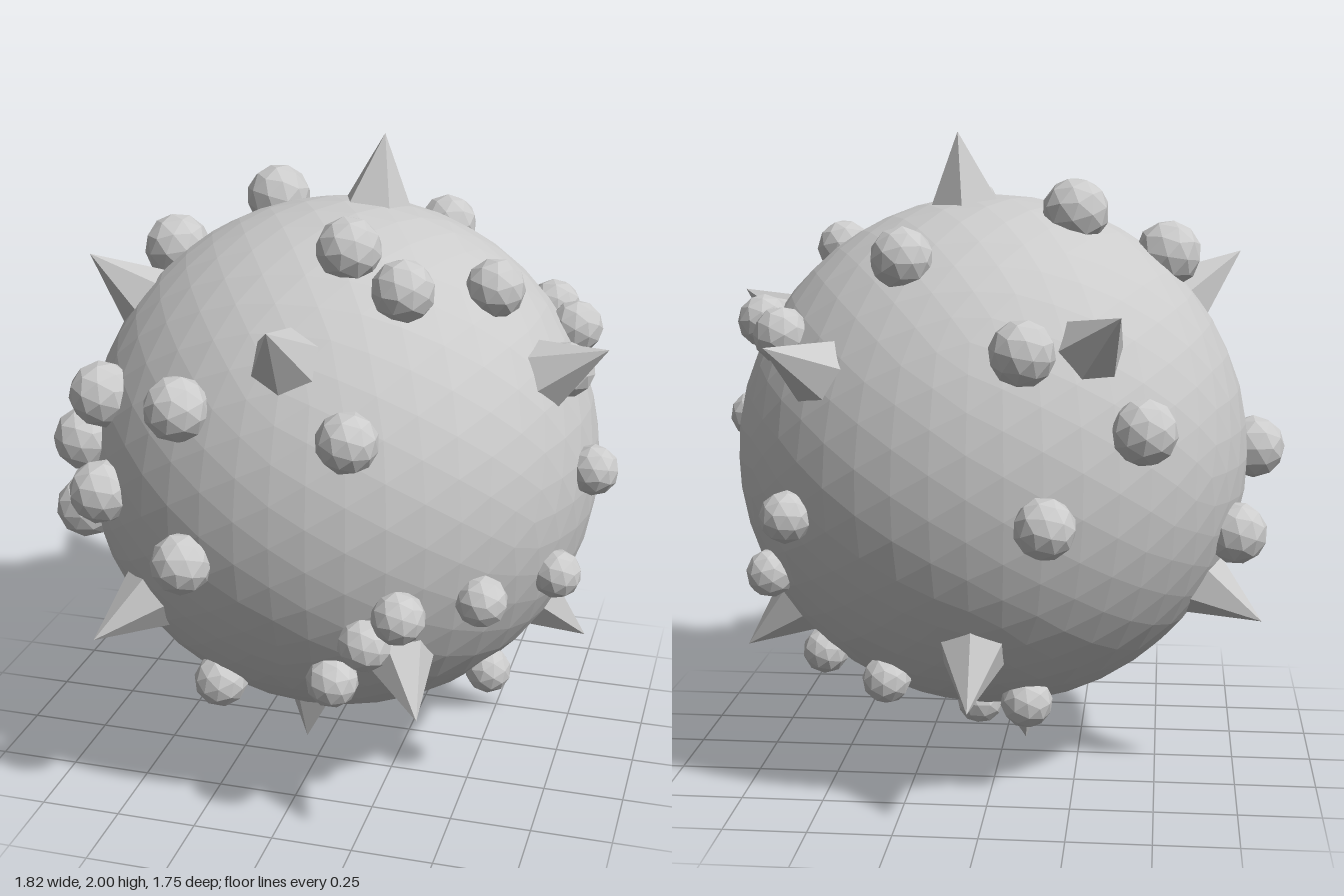
import * as THREE from 'three';

// Directions of six spikes; each has a twin on the opposite side
const SPIKES = [
  [0.1, 1, -0.1], [0.84, 0.475, 0.245], [0, 0.62, 0.79],
  [-0.77, 0.62, 0.15], [-0.42, 0.5, -0.76], [0.58, 0.405, -0.72],
];

// Directions of the rounded knobs scattered over the ball
const KNOBS = [
  // front
  [-0.3, 0.345, 0.69], [0.21, 0.313, 0.74], [-0.27, -0.09, 0.78], [-0.244, -0.584, 0.54],
  [0.149, -0.46, 0.675], [0.355, -0.207, 0.72], [0.26, -0.3, 0.73], [0.55, -0.19, 0.56],
  // left side
  [0.73, -0.2, 0.31], [0.52, -0.567, 0.25], [0.81, 0.074, 0.15], [0.72, 0.38, 0.15],
  [0.69, 0.414, -0.155], [0.58, 0.4, -0.41], [0.54, -0.1, -0.61], [0.64, -0.32, -0.42],
  // top
  [0.28, 0.647, 0.41], [0.106, 0.74, 0.34], [0.504, 0.62, 0.2],
  [0.22, 0.64, -0.48], [-0.27, 0.77, -0.19], [-0.56, 0.64, -0.01],
  // right side
  [-0.62, 0.287, 0.47], [-0.695, 0.127, 0.435], [-0.59, 0.02, 0.58], [-0.72, -0.117, 0.39],
  [-0.84, 0.01, 0.06], [-0.78, -0.21, -0.24],
  // back
  [-0.15, 0.4, -0.72], [-0.49, 0.17, -0.65], [-0.22, -0.08, -0.8],
  // underside
  [0.5, -0.6, -0.29], [0.28, -0.63, -0.46], [-0.14, -0.7, -0.41], [0.04, -0.83, -0.04],
];

const BALL_RADIUS = 0.807;
const SPIKE_TIP = 1.01;
const SPIKE_ROOT = 0.7;
const UP = new THREE.Vector3(0, 1, 0);

export function createModel() {
  const model = new THREE.Group();
  model.name = 'spikedBall';
  const material = new THREE.MeshStandardMaterial({ color: 0xcccccc, flatShading: true });

  const body = new THREE.Group();
  body.name = 'body';
  body.position.set(0.03, 1, 0.03);
  model.add(body);

  // Places a part on the ball, its own y axis pointing outwards
  const place = (geometry, name, dir, distance) => {
    const mesh = new THREE.Mesh(geometry, material);
    mesh.name = name;
    mesh.quaternion.setFromUnitVectors(UP, dir);
    mesh.position.copy(dir).multiplyScalar(distance);
    body.add(mesh);
    return mesh;
  };

  // Faceted ball
  place(new THREE.IcosahedronGeometry(BALL_RADIUS, 7), 'ball', UP, 0);

  // Pyramid spikes in opposite pairs, rooted inside the ball
  const height = SPIKE_TIP - SPIKE_ROOT;
  const poleSpike = new THREE.ConeGeometry(0.155, height, 5);
  const sideSpike = new THREE.ConeGeometry(0.15, height, 6);
  SPIKES.forEach((d, i) => {
    for (const sign of [1, -1]) {
      const dir = new THREE.Vector3(...d).normalize().multiplyScalar(sign);
      const spike = place(i === 0 ? poleSpike : sideSpike, 'spike', dir, SPIKE_ROOT + height / 2);
      if (i === 0) spike.rotateY(Math.PI);
    }
  });

  // Low-poly knobs, half sunk into the ball, slightly larger towards the upper right
  const knob = new THREE.IcosahedronGeometry(1, 1);
  for (const d of KNOBS) {
    const dir = new THREE.Vector3(...d).normalize();
    place(knob, 'knob', dir, 0.83).scale.setScalar(0.088 + 0.012 * (dir.y - dir.x));
  }

  return model;
}
